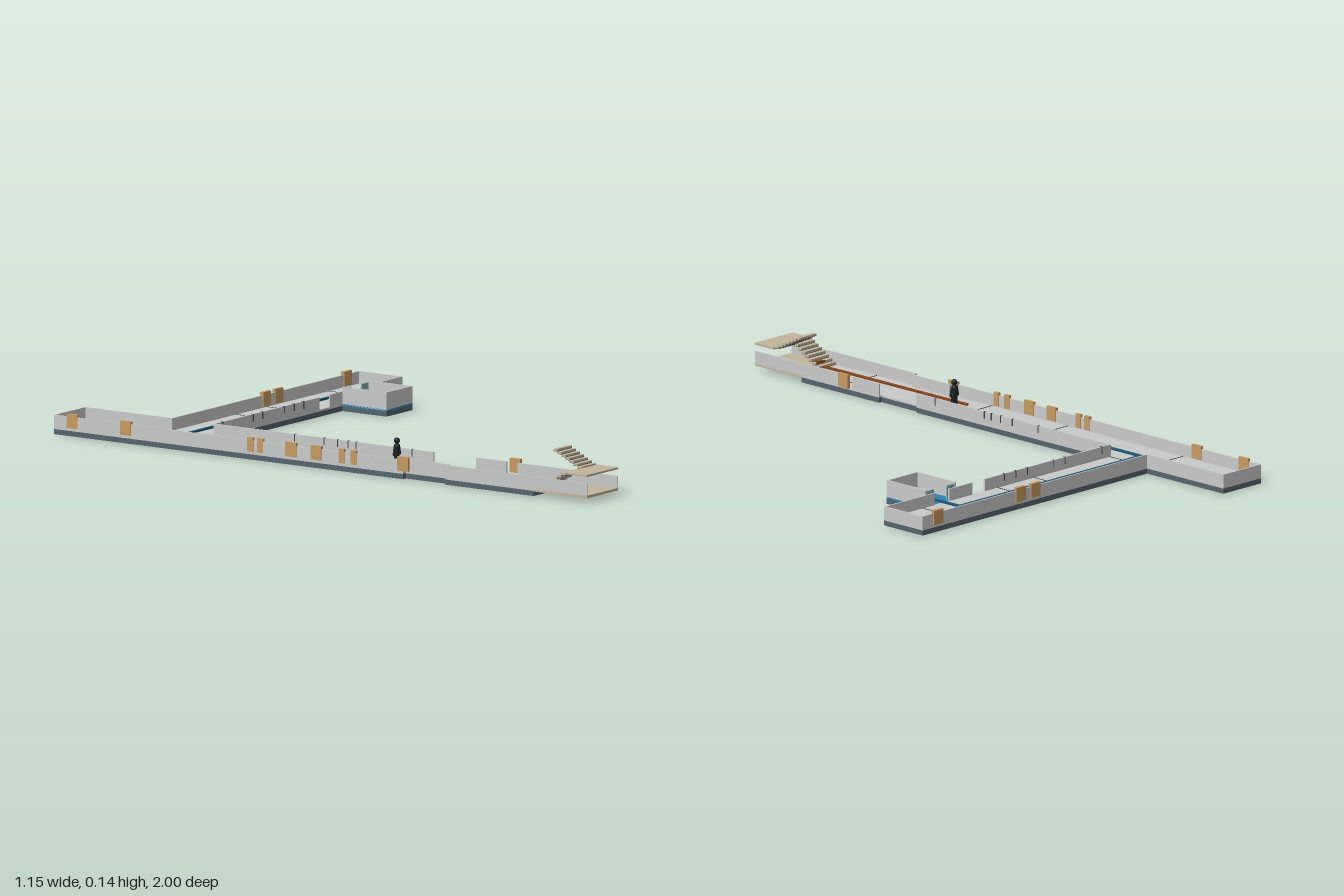
import * as THREE from 'three';

const material = (name, color) => {
  const m = new THREE.MeshStandardMaterial({ color });
  m.name = name;
  return m;
};

export function createModel() {
  const model = new THREE.Group();
  model.name = 'corridorComplex';
  const wallGrey = material('wall grey', 0xc8cac9);
  const slate = material('slate base', 0x56646c);
  const dark = material('dark line', 0x454c50);
  const tan = material('stair tan', 0xc2b59b);
  const wood = material('door wood', 0xc79a61);
  const blue = material('pool blue', 0x2a84b4);
  const routeBlue = material('route blue', 0x1d5876);
  const routeBrown = material('route brown', 0x87481c);
  const black = material('figure black', 0x1c2227);
  const teal = material('teal glass', 0x7fb0b4);

  // Box given by its limits on each axis
  const box = (name, mat, x0, x1, y0, y1, z0, z1, parent = model) => {
    const mesh = new THREE.Mesh(new THREE.BoxGeometry(x1 - x0, y1 - y0, z1 - z0), mat);
    mesh.position.set((x0 + x1) / 2, (y0 + y1) / 2, (z0 + z1) / 2);
    mesh.name = name;
    parent.add(mesh);
    return mesh;
  };

  // Foundation and floor; the passage narrows slightly near its front
  const plan = [
    [-0.575, -0.41, -1, 0.31],
    [-0.56, -0.42, 0.31, 0.47],
    [-0.575, -0.41, 0.47, 0.8],
    [-0.41, 0.57, -0.675, -0.51],
    [0.255, 0.39, -0.51, -0.345],
  ];
  plan.forEach(([x0, x1, z0, z1], i) => {
    box('foundation', slate, x0, x1, 0, 0.016, z0, z1);
    box(i === 4 ? 'poolFloor' : 'floor', i === 4 ? blue : wallGrey, x0, x1, 0.016, 0.022, z0, z1);
  });
  box('stairFloor', tan, -0.575, -0.41, 0.014, 0.022, 0.8, 1);

  // Walls
  const T = 0.005;
  const wallX = (x, z0, z1, top = 0.06) => box('wall', wallGrey, x, x + T, 0.018, top, z0, z1);
  const wallZ = (z, x0, x1, top = 0.06) => box('wall', wallGrey, x0, x1, 0.018, top, z, z + T);
  wallX(-0.575, -1, 0.31);
  wallX(-0.56, 0.31, 0.47);
  wallX(-0.575, 0.47, 1);
  wallX(-0.415, -1, -0.675);
  wallX(-0.415, -0.51, 0.31);
  wallX(-0.415, 0.47, 0.585);
  wallX(-0.415, 0.625, 1);
  wallZ(-1, -0.57, -0.415);
  wallZ(-0.675, -0.415, 0.57);
  wallX(0.565, -0.67, -0.515);
  wallZ(-0.515, -0.415, 0.135);
  wallZ(-0.515, 0.19, 0.29);
  wallZ(-0.515, 0.355, 0.57);
  wallX(0.255, -0.51, -0.35, 0.075);
  wallX(0.385, -0.51, -0.35, 0.075);
  wallZ(-0.35, 0.255, 0.39, 0.075);
  box('poolDoor', teal, 0.262, 0.295, 0.022, 0.07, -0.509, -0.505);
  box('poolDoor', teal, 0.35, 0.383, 0.022, 0.07, -0.509, -0.505);

  // Window posts on the inner walls
  for (const x of [-0.375, -0.215, -0.165, -0.05, 0, 0.05, 0.175])
    if (x < 0.13) box('windowPost', dark, x - 0.0015, x + 0.0015, 0.038, 0.061, -0.516, -0.508);
  for (const z of [0.23, 0.02, -0.01, -0.05, -0.1, -0.21])
    box('windowPost', dark, -0.416, -0.408, 0.038, 0.061, z - 0.0015, z + 0.0015);

  // Floor joints
  for (const z of [-0.672, -0.18, 0.145, 0.635])
    box('floorJoint', dark, -0.57, -0.415, 0.022, 0.0228, z - 0.002, z + 0.002);
  for (const x of [-0.41, -0.08, 0.08, 0.405])
    box('floorJoint', dark, x - 0.002, x + 0.002, 0.022, 0.0228, -0.67, -0.515);

  // Doors along the outer walls, rising above them
  const sideDoors = [[0.31, 0.04], [0.125, 0.02], [0.08, 0.02], [-0.015, 0.04], [-0.11, 0.04],
    [-0.225, 0.022], [-0.262, 0.022], [-0.73, 0.04], [-0.93, 0.04]];
  for (const [z, w] of sideDoors)
    box('sideDoor', wood, -0.577, -0.568, 0.025, 0.069, z - w / 2, z + w / 2);
  for (const x of [0.08, 0.145, 0.505])
    box('backDoor', wood, x - 0.02, x + 0.02, 0.025, 0.07, -0.68, -0.668);
  box('openDoor', wood, -0.4, -0.39, 0.025, 0.069, 0.585, 0.625);

  // Route strips with arrowheads
  const R = 0.005;
  box('blueRoute', routeBlue, -0.47 - R, -0.47 + R, 0.024, 0.03, -0.59 + R, 0.195);
  box('blueRoute', routeBlue, -0.47 - R, 0.322 + R, 0.024, 0.03, -0.59 - R, -0.59 + R);
  box('blueRoute', routeBlue, 0.322 - R, 0.322 + R, 0.024, 0.03, -0.59 + R, -0.455);
  box('brownRoute', routeBrown, -0.515 - R, -0.515 + R, 0.024, 0.03, 0.195, 0.825);
  const arrow = (name, mat, x, y, z) => {
    const shape = new THREE.Shape([[-0.018, 0], [0.018, 0], [0, -0.035]].map(p => new THREE.Vector2(...p)));
    const mesh = new THREE.Mesh(new THREE.ExtrudeGeometry(shape, { depth: 0.006, bevelEnabled: false }), mat);
    mesh.rotation.x = -Math.PI / 2;
    mesh.position.set(x, y, z);
    mesh.name = name;
    model.add(mesh);
  };
  arrow('blueArrow', routeBlue, 0.322, 0.024, -0.46);
  arrow('brownArrow', routeBrown, -0.515, 0.036, 0.82);

  // Folded stair: two open flights joined by a landing
  const flight = (name, x0, x1, y0, z0, y1, z1) => {
    const group = new THREE.Group();
    group.name = name;
    const n = 7, dz = (z1 - z0) / n, dy = (y1 - y0) / n;
    for (let i = 0; i < n; i++) {
      const a = z0 + i * dz, b = a + dz, y = y0 + (i + 1) * dy;
      box('step', tan, x0, x1, y - dy * 0.85, y, Math.min(a, b), Math.max(a, b), group);
      box('stepEdge', dark, x0, x1, y - dy, y - dy * 0.85, Math.min(a, b), Math.max(a, b), group);
    }
    model.add(group);
  };
  flight('lowerFlight', -0.57, -0.495, 0.022, 0.81, 0.083, 0.915);
  flight('upperFlight', -0.49, -0.415, 0.083, 0.92, 0.136, 0.815);
  box('landing', tan, -0.575, -0.41, 0.08, 0.086, 0.92, 1);

  // Standing figure
  const figure = new THREE.Group();
  figure.name = 'figure';
  const limb = (name, r, x, y0, y1, z = 0) => {
    const mesh = new THREE.Mesh(new THREE.CapsuleGeometry(r, y1 - y0 - 2 * r, 4, 10), black);
    mesh.position.set(x, (y0 + y1) / 2, z);
    mesh.name = name;
    figure.add(mesh);
    return mesh;
  };
  limb('torso', 0.01, 0, 0.052, 0.09);
  for (const s of [-1, 1]) {
    limb('leg', 0.0055, s * 0.006, 0.022, 0.062);
    limb('arm', 0.004, s * 0.013, 0.052, 0.086).rotation.z = s * 0.2;
  }
  const head = new THREE.Mesh(new THREE.SphereGeometry(0.0095, 14, 10), black);
  head.position.y = 0.098;
  head.name = 'head';
  figure.add(head);
  figure.position.set(-0.488, 0, 0.225);
  model.add(figure);
  return model;
}
